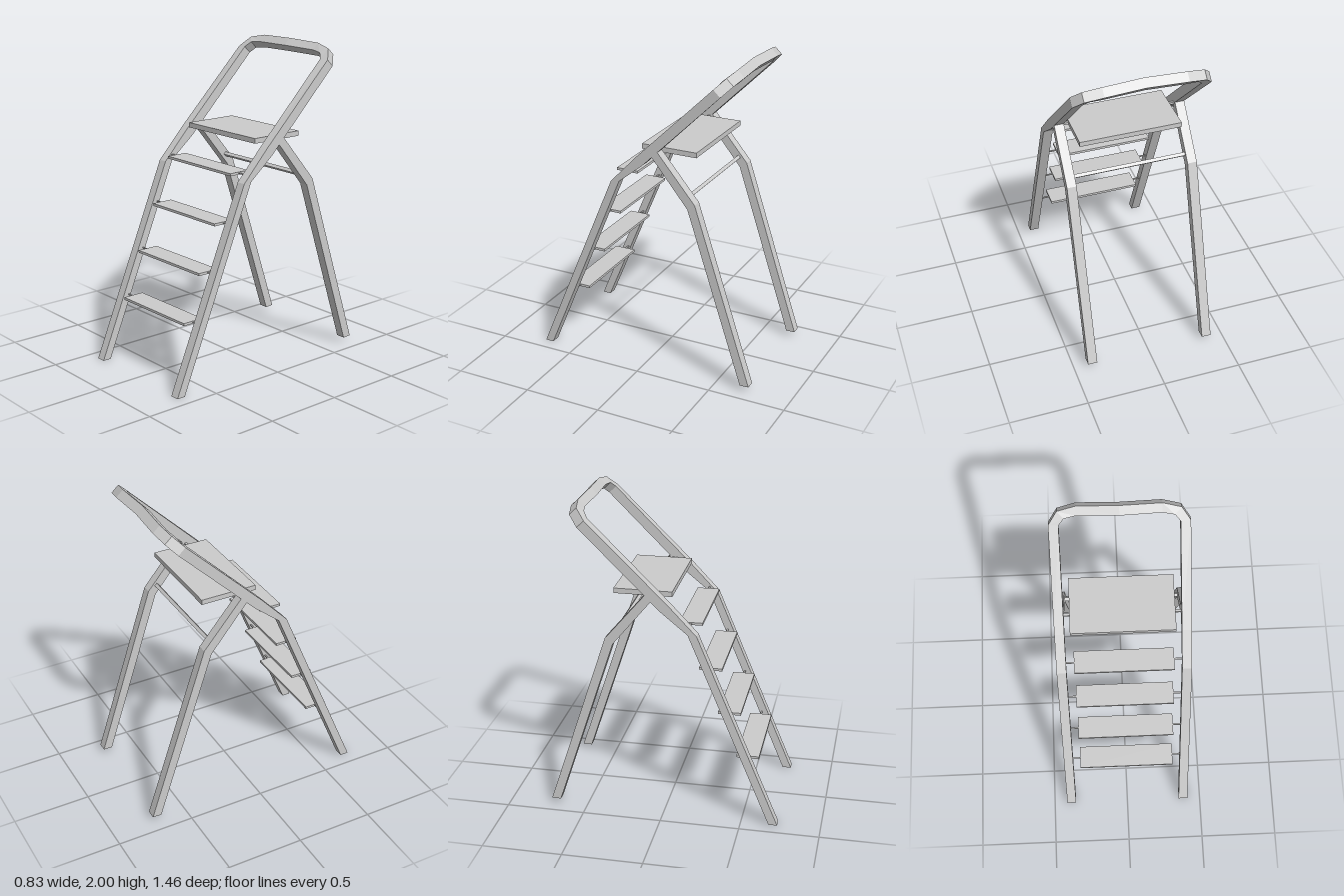
import * as THREE from 'three';

const material = new THREE.MeshStandardMaterial({ color: 0xcccccc, flatShading: true });

// Four-sided section: outer front, inner front, inner back, outer back.
// back = [dy, dz] from the front edge to the back edge.
function section(outer, inner, back) {
  const shift = ([x, y, z]) => [x, y + back[0], z + back[1]];
  return [outer, inner, shift(inner), shift(outer)];
}

// Straight section of a side rail, from its front and back edges in the side plane
function railSection(frontY, frontZ, backY, backZ) {
  return section([0.415, frontY, frontZ], [0.355, frontY, frontZ], [backY - frontY, backZ - frontZ]);
}

// The same sections on the other side, in reverse order to keep faces outward
function mirrored(sections) {
  return sections.map(s => s.map(([x, y, z]) => [-x, y, z])).reverse();
}

// Square tube skinned over a list of sections, closed at both ends
function loft(sections) {
  const pos = [];
  const quad = (a, b, c, d) => pos.push(...a, ...b, ...c, ...a, ...c, ...d);
  for (let i = 0; i < sections.length - 1; i++) {
    const s = sections[i], t = sections[i + 1];
    for (let k = 0; k < 4; k++) {
      const n = (k + 1) % 4;
      quad(s[n], s[k], t[k], t[n]);
    }
  }
  quad(...sections[0]);
  quad(...[...sections[sections.length - 1]].reverse());
  const geometry = new THREE.BufferGeometry();
  geometry.setAttribute('position', new THREE.Float32BufferAttribute(pos, 3));
  geometry.computeVertexNormals();
  return geometry;
}

export function createModel() {
  const model = new THREE.Group();
  model.name = 'stepLadder';

  function add(name, geometry, x = 0, y = 0, z = 0, parent = model) {
    const mesh = new THREE.Mesh(geometry, material);
    mesh.name = name;
    mesh.position.set(x, y, z);
    parent.add(mesh);
    return mesh;
  }

  // Front rails and top handle, one continuous tube
  const handleBack = [-0.042, -0.045];
  const half = [
    railSection(0, 0.73, 0, 0.675),
    railSection(1.235, 0.21, 1.24, 0.155),
    railSection(1.425, 0.03, 1.375, -0.01),
    section([0.415, 1.912, -0.465], [0.355, 1.912, -0.46], handleBack),
    section([0.362, 1.972, -0.522], [0.322, 1.945, -0.487], handleBack),
    section([0.25, 1.994, -0.541], [0.25, 1.953, -0.499], handleBack),
  ];
  const middle = section([0, 2, -0.531], [0, 1.957, -0.488], handleBack);
  add('frontFrame', loft([...half, middle, ...mirrored(half)]));

  // Bent back legs
  const backLeg = [
    railSection(0.035, -0.672, 0.037, -0.73),
    railSection(1.145, -0.307, 1.18, -0.355),
    railSection(1.435, -0.07, 1.475, -0.106),
  ];
  add('leftBackLeg', loft(backLeg));
  add('rightBackLeg', loft(mirrored(backLeg)));

  // Brace between the back legs, a square bar set on its edge
  const brace = add('backBrace', new THREE.BoxGeometry(0.72, 0.022, 0.022), 0, 1.21, -0.295);
  brace.rotation.x = Math.PI / 4;

  // Tread with a thin rod joining it to the rails at both ends
  function tread(name, y, z, size, rodZ, rodHeight, rodDepth) {
    const group = new THREE.Group();
    group.name = name;
    model.add(group);
    add('board', new THREE.BoxGeometry(...size), 0, y, z, group);
    const length = 0.36 - size[0] / 2;
    for (const side of [1, -1]) {
      add(side > 0 ? 'leftRod' : 'rightRod', new THREE.BoxGeometry(length, rodHeight, rodDepth),
        side * (0.36 - length / 2), y, rodZ, group);
    }
  }

  // Four steps and the standing platform
  [[0.405, 0.52], [0.695, 0.4], [0.983, 0.279], [1.273, 0.156]].forEach(([y, z], i) => {
    tread(`step${i + 1}`, y, z, [0.612, 0.016, 0.142], z, 0.006, 0.01);
  });
  tread('platform', 1.457, -0.138, [0.64, 0.032, 0.362], -0.085, 0.014, 0.015);

  return model;
}
